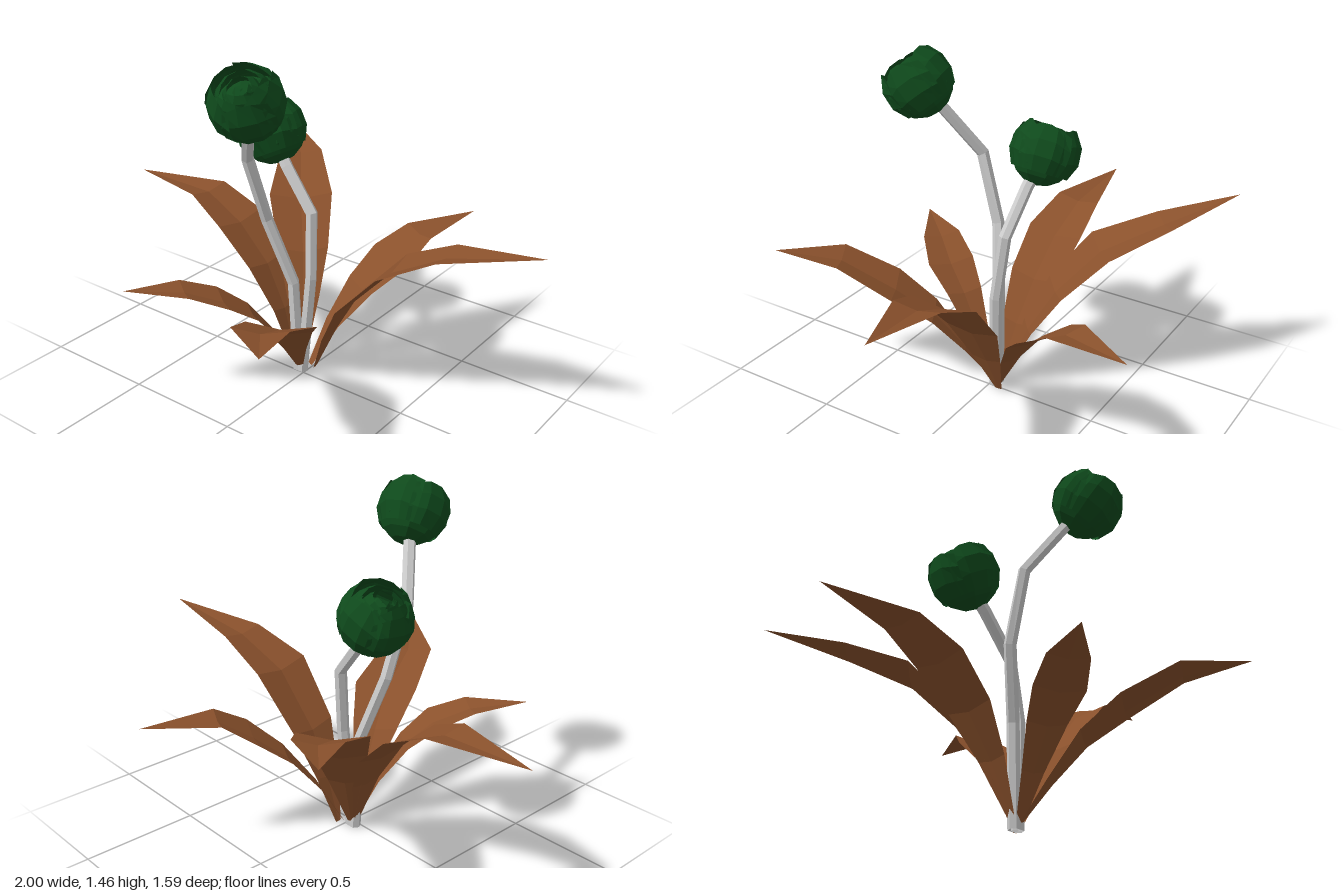
import * as THREE from 'three';

const mat = (color) => new THREE.MeshStandardMaterial({ color, flatShading: true, side: THREE.DoubleSide });
const UP = new THREE.Vector3(0, 1, 0);

// Skin a list of equally long point rows into a surface.
function skin(rows, closed) {
  const n = rows[0].length, index = [];
  for (let r = 0; r < rows.length - 1; r++) {
    for (let i = 0; i < (closed ? n : n - 1); i++) {
      const j = (i + 1) % n, a = r * n + i, b = r * n + j, c = a + n, d = b + n;
      index.push(a, c, b, b, c, d);
    }
  }
  const geo = new THREE.BufferGeometry().setFromPoints(rows.flat());
  geo.setIndex(index);
  geo.computeVertexNormals();
  return geo;
}

// Leaf: stations of [x, y, z, half width], lightly folded along the midrib.
function leafGeometry(stations) {
  const a = stations[0], b = stations[stations.length - 1];
  const side = new THREE.Vector3(b[2] - a[2], 0, a[0] - b[0]).normalize();
  return skin(stations.map(([x, y, z, w]) => [-1, 0, 1].map((s) => {
    const p = new THREE.Vector3(x, y, z).addScaledVector(side, s * w);
    p.y += (s === 0 ? -0.12 : 0.06) * w;
    return p;
  })), false);
}

// Stem: six-sided rings set square to the path.
function stemGeometry(path, radius) {
  const pts = path.map((p) => new THREE.Vector3(...p));
  return skin(pts.map((p, i) => {
    const dir = pts[Math.min(i + 1, pts.length - 1)].clone().sub(pts[Math.max(i - 1, 0)]).normalize();
    if (i === 0) dir.copy(UP);
    const q = new THREE.Quaternion().setFromUnitVectors(UP, dir);
    return Array.from({ length: 6 }, (_, k) => {
      const t = -k * Math.PI / 3;
      return new THREE.Vector3(Math.cos(t) * radius, 0, Math.sin(t) * radius).applyQuaternion(q).add(p);
    });
  }), true);
}

// Petal: patch of a sphere whose rim dips at both corners.
function petalGeometry(radius, start, width, top, bottom) {
  const rows = [];
  for (let r = 0; r <= 3; r++) {
    const row = [];
    for (let c = 0; c <= 3; c++) {
      const u = c / 3, v = r / 3;
      const rim = top + (c === 0 || c === 3 ? 0.22 : 0);
      const theta = THREE.MathUtils.lerp(bottom, rim, v);
      const rad = radius * (1 + 0.05 * u * v);
      row.push(new THREE.Vector3().setFromSphericalCoords(rad, theta, start + u * width));
    }
    rows.push(row);
  }
  return skin(rows, false);
}

// Flower head: cupped outer body with rings of overlapping petals.
function makeFlower(name, position, axis, material) {
  const flower = new THREE.Group();
  flower.name = name;
  const add = (geo, part) => {
    const m = new THREE.Mesh(geo, material);
    m.name = part;
    flower.add(m);
    return m;
  };
  add(new THREE.SphereGeometry(0.142, 8, 5, 0, Math.PI * 2, 1.25, Math.PI - 1.25), 'flowerCup');
  const rings = [
    { r: 0.147, n: 5, top: 0.72, bottom: 2.2, y: 0 },
    { r: 0.115, n: 4, top: 0.6, bottom: 1.7, y: 0.012 },
    { r: 0.08, n: 3, top: 0.55, bottom: 1.8, y: 0.035 },
  ];
  rings.forEach(({ r, n, top, bottom, y }, k) => {
    for (let i = 0; i < n; i++) {
      const start = (i / n) * Math.PI * 2 + k * 0.7;
      const petal = add(petalGeometry(r, start, (Math.PI * 2 / n) * 1.2, top + 0.1 * (i % 2), bottom), 'petal');
      petal.position.y = y;
    }
  });
  add(new THREE.IcosahedronGeometry(0.05, 0), 'flowerHeart').position.y = 0.045;
  // Floor that closes the gaps between petals
  add(new THREE.ConeGeometry(0.135, 0.09, 8), 'flowerFloor').position.y = 0.045;
  flower.position.set(...position);
  flower.quaternion.setFromUnitVectors(UP, new THREE.Vector3(...axis).normalize());
  return flower;
}

export function createModel() {
  const model = new THREE.Group();
  model.name = 'floweringPlant';
  const leafMat = mat(0x8a512c), stemMat = mat(0xcccccc), flowerMat = mat(0x0f4a1c);

  const leaves = {
    leftLeaf: [[0.02, 0.01, -0.06, 0.015], [0.1, 0.2, -0.05, 0.065], [0.2, 0.39, -0.045, 0.115],
      [0.4, 0.61, -0.05, 0.14], [0.62, 0.72, -0.09, 0.1], [1, 0.79, -0.16, 0]],
    rightLeaf: [[-0.05, 0.03, -0.02, 0.015], [-0.14, 0.26, -0.05, 0.07], [-0.25, 0.44, -0.07, 0.115],
      [-0.41, 0.59, -0.08, 0.13], [-0.6, 0.68, -0.09, 0.1], [-1, 0.68, -0.08, 0]],
    backRightLeaf: [[-0.04, 0.03, -0.04, 0.015], [-0.1, 0.28, -0.13, 0.07], [-0.17, 0.46, -0.22, 0.11],
      [-0.29, 0.64, -0.36, 0.14], [-0.45, 0.75, -0.57, 0.095], [-0.71, 0.83, -0.79, 0]],
    backLeftLeaf: [[0, 0.02, -0.05, 0.015], [0.05, 0.2, -0.14, 0.05], [0.12, 0.36, -0.25, 0.095],
      [0.19, 0.47, -0.37, 0.13], [0.25, 0.56, -0.5, 0.09], [0.35, 0.58, -0.8, 0]],
    frontLeftLeaf: [[-0.02, 0.03, 0, 0.015], [0.03, 0.18, 0.1, 0.05], [0.09, 0.34, 0.22, 0.1],
      [0.17, 0.46, 0.36, 0.14], [0.25, 0.57, 0.58, 0.11], [0.42, 0.62, 0.79, 0]],
    frontRightLeaf: [[-0.03, 0.03, 0, 0.015], [-0.06, 0.2, 0.09, 0.045], [-0.11, 0.35, 0.2, 0.08],
      [-0.17, 0.44, 0.31, 0.105], [-0.27, 0.5, 0.43, 0.085], [-0.43, 0.52, 0.61, 0]],
  };
  for (const [name, stations] of Object.entries(leaves)) {
    const leaf = new THREE.Mesh(leafGeometry(stations), leafMat);
    leaf.name = name;
    model.add(leaf);
  }

  const stems = {
    tallStem: [[-0.04, 0, -0.02], [-0.06, 0.42, -0.01], [-0.15, 0.71, 0.05], [-0.17, 1, 0.14], [-0.03, 1.26, 0.29]],
    shortStem: [[-0.02, 0, -0.02], [0.01, 0.45, -0.04], [-0.01, 0.73, -0.07], [-0.15, 0.9, -0.085], [-0.23, 1, -0.105]],
  };
  for (const [name, path] of Object.entries(stems)) {
    const stem = new THREE.Mesh(stemGeometry(path, 0.026), stemMat);
    stem.name = name;
    model.add(stem);
  }

  model.add(makeFlower('tallFlower', [0, 1.312, 0.335], [0.2, 0.75, 0.55], flowerMat));
  model.add(makeFlower('shortFlower', [-0.25, 1.03, -0.11], [-0.45, 0.88, -0.05], flowerMat));
  return model;
}
